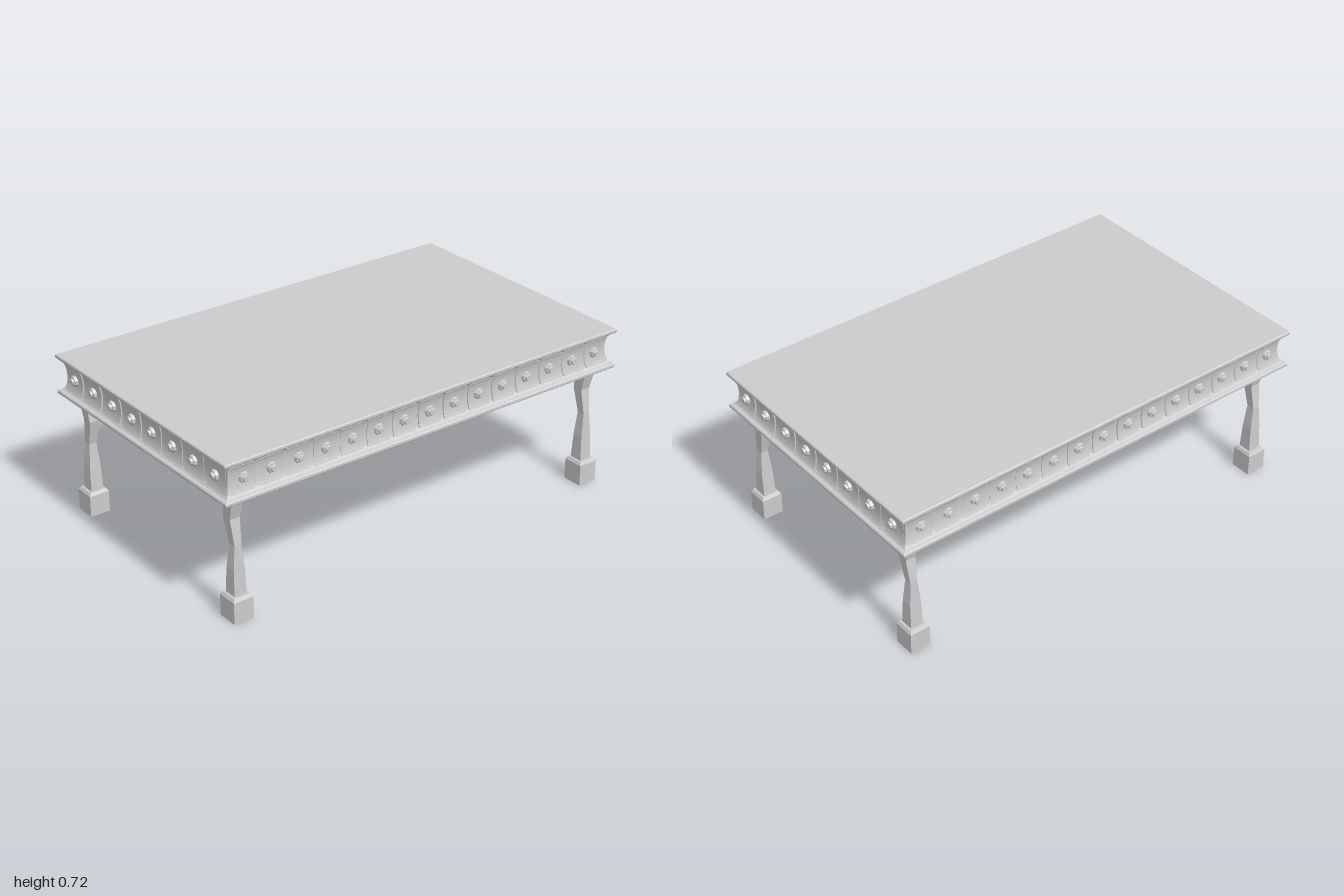
import * as THREE from 'three';

const material = new THREE.MeshStandardMaterial({ color: 0xcccccc, flatShading: true });
const HALF_X = 0.61, HALF_Z = 1;
const MID = 0.63, FRIEZE_HALF = 0.068; // concave band: centre height and half height

// How far the concave band lies behind the outer edge at height y
function inset(y) {
  const t = Math.min(1, Math.abs(y - MID) / FRIEZE_HALF);
  return 0.012 + 0.022 * Math.sqrt(1 - 0.98 * t * t);
}

// Closed solid through rectangular rings [y, centreX, halfX, halfZ], bottom to top
function loft(rings) {
  const pos = [];
  const corners = rings.map(([y, x, w, d]) =>
    [[x - w, y, d], [x + w, y, d], [x + w, y, -d], [x - w, y, -d]]);
  const quad = (a, b, c, d) => pos.push(...a, ...b, ...c, ...a, ...c, ...d);
  for (let i = 0; i < corners.length - 1; i++) {
    for (let k = 0; k < 4; k++) {
      const n = (k + 1) % 4;
      quad(corners[i][k], corners[i][n], corners[i + 1][n], corners[i + 1][k]);
    }
  }
  const bottom = corners[0], top = corners[corners.length - 1];
  quad(bottom[3], bottom[2], bottom[1], bottom[0]);
  quad(top[0], top[1], top[2], top[3]);
  const geometry = new THREE.BufferGeometry();
  geometry.setAttribute('position', new THREE.Float32BufferAttribute(pos, 3));
  geometry.computeVertexNormals();
  return geometry;
}

function addMesh(parent, name, geometry) {
  const mesh = new THREE.Mesh(geometry, material);
  mesh.name = name;
  parent.add(mesh);
  return mesh;
}

// Plate bent onto the concave band; its ends follow the mitre of the corners
function panelGeometry(u, width, height, raise, half, distance) {
  const geometry = new THREE.BoxGeometry(width, height, 1, 1, 8, 1);
  const p = geometry.attributes.position;
  for (let i = 0; i < p.count; i++) {
    const y = MID + p.getY(i);
    const depth = inset(y) - (p.getZ(i) > 0 ? raise : -0.004);
    p.setXYZ(i, (u + p.getX(i)) * (half - depth) / half, y, distance - depth);
  }
  geometry.computeVertexNormals();
  return geometry;
}

// Row of panels with studs along one side of the table
function friezeSide(name, half, distance, count, end, width) {
  const side = new THREE.Group();
  side.name = name;
  const depth = inset(MID);
  for (let i = 0; i < count; i++) {
    const u = -end + (2 * end * i) / (count - 1);
    addMesh(side, 'panel', panelGeometry(u, width, 0.116, 0.005, half, distance));
    const x = u * (half - depth) / half;
    const base = addMesh(side, 'studBase',
      new THREE.CylinderGeometry(0.021, 0.026, 0.018, 8).rotateY(Math.PI / 8).rotateX(Math.PI / 2));
    base.position.set(x, MID, distance - depth + 0.009);
    const knob = addMesh(side, 'studKnob',
      new THREE.CylinderGeometry(0.012, 0.016, 0.01, 8).rotateY(Math.PI / 8).rotateX(Math.PI / 2));
    knob.position.set(x, MID, distance - depth + 0.022);
  }
  return side;
}

// Leg on the +x side: knee bent inward, block foot
function createLeg() {
  const leg = new THREE.Group();
  leg.name = 'leg';
  addMesh(leg, 'shaft', loft([
    [0.09, -0.003, 0.031, 0.029],
    [0.22, -0.002, 0.024, 0.026],
    [0.325, -0.001, 0.018, 0.016],
    [0.435, -0.022, 0.023, 0.023],
    [0.55, 0.002, 0.03, 0.03],
  ]));
  addMesh(leg, 'foot', loft([
    [0, 0, 0.047, 0.046],
    [0.095, 0, 0.047, 0.046],
    [0.108, 0, 0.039, 0.038],
  ]));
  return leg;
}

export function createModel() {
  const table = new THREE.Group();
  table.name = 'table';

  // Table body: lower rim, concave band and upper rim as one stack of rings
  const lower = [[0.004, 0.54], [0, 0.544], [0, 0.554], [0.004, 0.559]];
  const profile = [...lower];
  for (let i = 0; i <= 10; i++) {
    const y = MID - FRIEZE_HALF + (2 * FRIEZE_HALF * i) / 10;
    profile.push([inset(y), y]);
  }
  profile.push(...lower.map(([d, y]) => [d, 2 * MID - y]).reverse());
  addMesh(table, 'tableBody', loft(profile.map(([d, y]) => [y, 0, HALF_X - d, HALF_Z - d])));

  // Decorated sides, turned round the table
  for (let k = 0; k < 4; k++) {
    const side = k % 2 === 0
      ? friezeSide('shortFrieze', HALF_X, HALF_Z, 8, 0.535, 0.128)
      : friezeSide('longFrieze', HALF_Z, HALF_X, 15, 0.93, 0.114);
    side.rotation.y = (k * Math.PI) / 2;
    table.add(side);
  }

  // Four legs
  for (const z of [-0.91, 0.91]) {
    const left = createLeg();
    left.position.set(0.533, 0, z);
    const right = createLeg();
    right.rotation.y = Math.PI;
    right.position.set(-0.522, 0, z);
    table.add(left, right);
  }
  return table;
}
